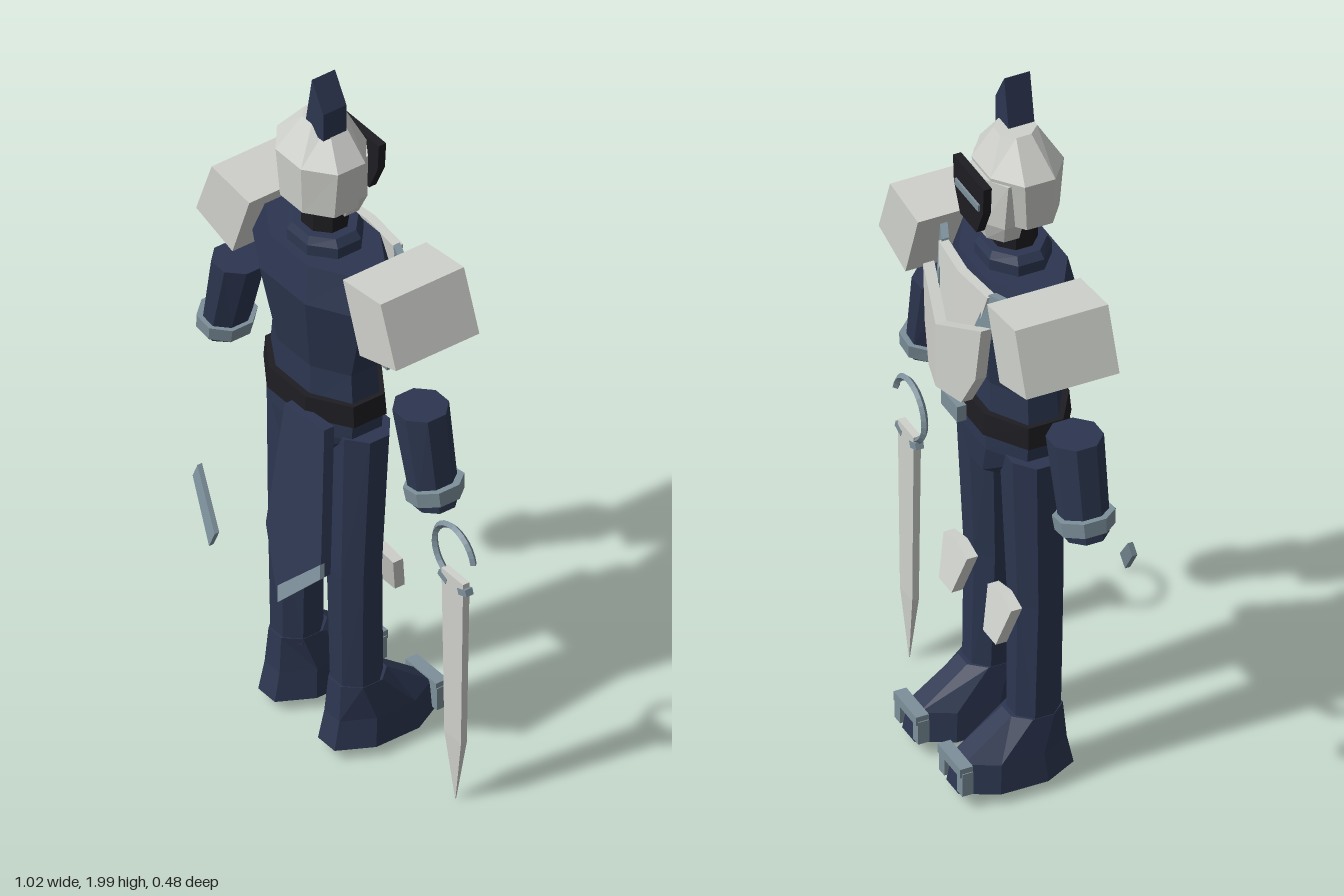
import * as THREE from 'three';

const mat = (name, color, side = THREE.FrontSide) => {
  const m = new THREE.MeshStandardMaterial({ color, flatShading: true, side });
  m.name = name;
  return m;
};

export function createModel() {
  const navy = mat('navy cloth', 0x2c3650);
  const pale = mat('pale plate', 0xcfd1cc);
  const steel = mat('blue steel', 0x7d909b);
  const black = mat('black leather', 0x1d1d22);

  const root = new THREE.Group();
  root.name = 'knight';
  const body = new THREE.Group();
  body.name = 'body';
  body.position.x = -0.025;
  root.add(body);

  const add = (name, geo, material, parent = body) => {
    const mesh = new THREE.Mesh(geo, material);
    mesh.name = name;
    parent.add(mesh);
    return mesh;
  };

  // Eight-sided loft; rings run top to bottom as [y, halfWidth, halfDepth, x, z]
  const loft = (rings, sides = 8) => {
    const n = rings.length - 1;
    const g = new THREE.CylinderGeometry(1, 1, 1, sides, n, false, Math.PI / sides);
    const k = 1 / Math.cos(Math.PI / sides);
    const p = g.attributes.position;
    for (let i = 0; i < p.count; i++) {
      const [y, rx, rz, x = 0, z = 0] = rings[Math.round((0.5 - p.getY(i)) * n)];
      p.setXYZ(i, x + p.getX(i) * rx * k, y, z + p.getZ(i) * rz * k);
    }
    g.computeVertexNormals();
    return g;
  };

  // Extruded outline whose depth is offset by a rule of x and y
  const plate = (pts, depth, rule) => {
    const shape = new THREE.Shape(pts.map(([x, y]) => new THREE.Vector2(x, y)));
    const g = new THREE.ExtrudeGeometry(shape, { depth, bevelEnabled: false });
    const p = g.attributes.position;
    for (let i = 0; i < p.count; i++) p.setZ(i, p.getZ(i) + rule(p.getX(i), p.getY(i)));
    g.computeVertexNormals();
    return g;
  };

  const box = (w, h, d, x, y, z) => new THREE.BoxGeometry(w, h, d).translate(x, y, z);

  // Torso, collar, neck, belt and pelvis
  add('torso', loft([[1.49, 0.185, 0.11], [1.39, 0.225, 0.13], [1.17, 0.16, 0.095], [1.06, 0.17, 0.1]]), navy);
  add('collar', loft([[1.54, 0.085, 0.075], [1.52, 0.1, 0.085], [1.48, 0.1, 0.085]]), navy);
  add('neck', loft([[1.62, 0.06, 0.055], [1.52, 0.06, 0.055]]), black);
  add('belt', loft([[1.09, 0.18, 0.115], [1.03, 0.185, 0.12]]), black);
  add('buckle', box(0.09, 0.045, 0.025, 0.02, 1.07, -0.152), steel);
  add('pelvis', loft([[1.04, 0.175, 0.11], [0.98, 0.17, 0.11], [0.9, 0.105, 0.105]]), navy);

  // Helmet with face guard, visor and crest
  add('helmet', loft([[1.865, 0.048, 0.05, 0, 0.005], [1.77, 0.125, 0.1, 0, 0.012], [1.63, 0.11, 0.085, 0, 0.018]]), pale);
  add('faceGuard', loft([[1.76, 0.095, 0.06, 0, -0.035], [1.63, 0.085, 0.06, 0, -0.04], [1.575, 0.062, 0.05, 0, -0.035]]), pale);
  const visor = [[-0.085, 1.765], [-0.08, 1.69], [-0.045, 1.615], [0.045, 1.615], [0.08, 1.69], [0.085, 1.765]];
  add('visor', plate(visor.reverse(), 0.022, () => -0.122), black);
  add('visorSlit', box(0.13, 0.018, 0.008, 0, 1.7, -0.124), steel);
  const crest = [[-0.035, 1.835], [0.042, 1.84], [0.042, 1.92], [-0.005, 2.0]];
  add('crest', plate(crest, 0.07, () => -0.015), navy, root);

  // Everything mirrored about the body's middle
  for (const s of [1, -1]) {
    const side = new THREE.Group();
    side.name = s > 0 ? 'leftSide' : 'rightSide';
    side.scale.x = s;
    body.add(side);

    // Shoulder and arm
    const shoulder = [[0.191, 1.507], [0.26, 1.317], [0.408, 1.36], [0.345, 1.525]];
    add('pauldron', plate(shoulder, 0.253, () => -0.165), pale, side);
    add('forearm', loft([[1.185, 0.066, 0.066, 0.37, -0.015], [0.975, 0.05, 0.06, 0.42, -0.015], [0.93, 0.052, 0.055, 0.428, -0.015]]), navy, side);
    const cuff = add('cuff', loft([[0.02, 0.064, 0.074], [-0.02, 0.062, 0.07]]), steel, side);
    cuff.position.set(0.425, 0.968, -0.016);
    cuff.rotation.z = 0.16;

    // Leg and boot
    add('leg', loft([[0.985, 0.088, 0.07, 0.122, -0.01], [0.55, 0.071, 0.062, 0.12, 0], [0.2, 0.06, 0.062, 0.122, -0.005]]), navy, side);
    add('boot', loft([[0.22, 0.062, 0.07, 0.122, -0.008], [0.12, 0.074, 0.14, 0.122, -0.07], [0.04, 0.082, 0.156, 0.122, -0.069]]), navy, side);
    const cap = new THREE.Group();
    cap.name = 'toeCap';
    cap.position.set(0.122, 0, 0);
    side.add(cap);
    add('toeCapBar', box(0.125, 0.025, 0.035, 0, 0.12, -0.217), steel, cap);
    for (const t of [-1, 1]) add('toeCapEnd', box(0.03, 0.065, 0.03, t * 0.05, 0.085, -0.215), steel, cap);

    // Knee guard
    const knee = [[-0.065, 0.05], [-0.035, -0.06], [0.035, -0.06], [0.065, 0.05], [0, 0.062]];
    const pad = add('kneeGuard', plate(knee, 0.03, (x, y) => 0.25 * y), pale, side);
    pad.position.set(0.122, 0.515, -0.11);

    // Breastplate halves and shoulder straps
    const lower = [[0, 1.34], [0, 1.155], [0.09, 1.155], [0.14, 1.25], [0.16, 1.405]];
    add('lowerBreastplate', plate(lower, 0.03, (x, y) => -0.211 + 0.28 * x), pale, side);
    const upper = [[0, 1.48], [0, 1.28], [0.08, 1.28], [0.135, 1.48]];
    add('upperBreastplate', plate(upper, 0.025, (x, y) => -0.15 + 0.1 * x - 0.1 * (1.48 - y)), pale, side);
    const strap = [[0.13, 1.485], [0.08, 1.31], [0.125, 1.33], [0.19, 1.485]];
    add('breastStrap', plate(strap, 0.02, (x, y) => -0.185 + 0.42 * x - 0.12 * (1.485 - y)), steel, side);

    // Steel hem of the hanging cloth
    const hem = [[0.26, 0.685], [0.25, 0.72], [0.128, 0.6], [0.14, 0.56]];
    add('clothHem', plate(hem, 0.014, (x, y) => 0.136 - 0.088 * x + 0.23 * (1.04 - y)), steel, side);
  }

  // Hanging cloth, on one side only
  const cloth = [[0.025, 1.05], [0.045, 0.73], [0.135, 0.56], [0.258, 0.685], [0.17, 1.05]];
  add('hangingCloth', plate(cloth, 0.03, (x, y) => 0.116 - 0.088 * x + 0.23 * (1.04 - y)), navy);

  // Sword with open ring grip
  const sword = new THREE.Group();
  sword.name = 'sword';
  sword.position.set(0.427, 0, -0.06);
  root.add(sword);
  const w = 0.044;
  add('blade', loft([[0.695, w, 0.01], [0.2, 0.034, 0.009], [0.01, 0.001, 0.001]], 4).rotateY(0), pale, sword);
  const ring = add('ringGrip', new THREE.TorusGeometry(0.08, 0.0095, 4, 18, Math.PI * 1.32), steel, sword);
  ring.position.set(-0.005, 0.755, 0);
  ring.rotation.z = 0.2;
  for (const t of [-1, 1]) {
    const stub = add('guardStub', box(0.035, 0.018, 0.022, 0, 0, 0), steel, sword);
    stub.position.set(t * 0.04, 0.67, 0);
    stub.rotation.z = t * 0.35;
  }
  return root;
}
